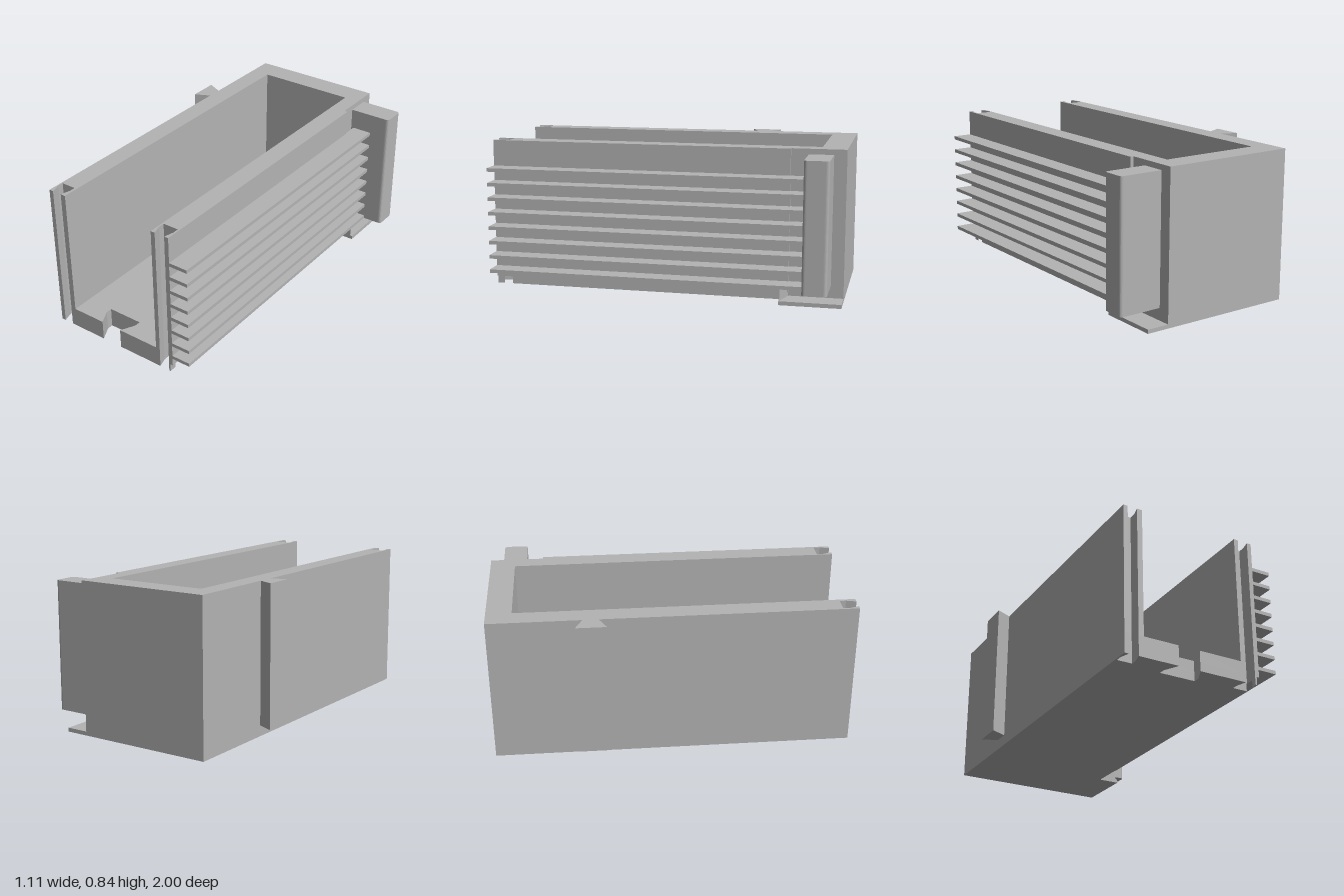
import * as THREE from 'three';

const grey = new THREE.MeshStandardMaterial({ color: 0xb3b3b3 });
grey.name = 'grey';

// Plan outline of [x, z] points raised from y0 to y1
function raise(name, points, y0, y1) {
  const shape = points instanceof THREE.Shape
    ? points
    : new THREE.Shape(points.map(([x, z]) => new THREE.Vector2(x, -z)));
  const geo = new THREE.ExtrudeGeometry(shape, { depth: y1 - y0, bevelEnabled: false, curveSegments: 8 });
  geo.rotateX(-Math.PI / 2).translate(0, y0, 0);
  const mesh = new THREE.Mesh(geo, grey);
  mesh.name = name;
  return mesh;
}

// Flared slot cut into the front edge, listed from +x to -x
const slot = (mouthR, wideR, mouthL, wideL, bend, back) =>
  [[mouthR, 1], [wideR, bend], [wideR, back], [wideL, back], [wideL, bend], [mouthL, 1]];

const leftSlot = slot(0.30, 0.314, 0.24, 0.224, 0.945, 0.91);
const rightSlot = slot(-0.39, -0.376, -0.445, -0.461, 0.945, 0.91);
const floorSlot = slot(-0.035, 0.005, -0.16, -0.2, 0.92, 0.885);

const rear = [[-0.47, 1], [-0.47, -1], [0.305, -1], [0.305, -0.7]];
const side = [[0.325, -0.7], [0.325, 1]];
const cavity = [[0.215, 1], [0.215, -0.86], [-0.36, -0.86], [-0.36, 1]];

export function createModel() {
  const model = new THREE.Group();

  // Open-topped, open-fronted box in layers
  model.add(raise('walls', [...rear, ...side, ...leftSlot, ...cavity, ...rightSlot], 0.113, 0.84));
  model.add(raise('floor', [...rear, ...side, ...leftSlot, ...floorSlot, ...rightSlot], 0.045, 0.113));

  // Base is narrower on the left, so the slot breaks through its side
  model.add(raise('base', [...rear, [0.31, -0.7], [0.31, 0.91], ...leftSlot.slice(3),
    ...floorSlot, ...rightSlot], 0, 0.045));
  model.add(raise('baseSliver', [[0.30, 1], [0.31, 1], [0.31, 0.96]], 0, 0.045));

  // Cooling fins
  for (let i = 0; i < 8; i++) {
    const fin = new THREE.Mesh(new THREE.BoxGeometry(0.115, 0.02, 1.8), grey);
    fin.name = 'fin';
    fin.position.set(0.3775, 0.098 + i * 0.0836, 0.1);
    model.add(fin);
  }

  // Upright side handle with rounded outer corners
  const r = 0.02;
  const handle = new THREE.Shape();
  handle.moveTo(0.30, 0.795);
  handle.lineTo(0.553 - r, 0.795);
  handle.quadraticCurveTo(0.553, 0.795, 0.553, 0.795 + r);
  handle.lineTo(0.553, 0.93 - r);
  handle.quadraticCurveTo(0.553, 0.93, 0.553 - r, 0.93);
  handle.lineTo(0.30, 0.93);
  model.add(raise('handle', handle, 0.09, 0.81));

  // Foot plate and its upright gusset
  model.add(raise('footPlate', [[0.3, -1], [0.433, -1], [0.433, -0.66], [0.3, -0.66]], 0, 0.022));
  model.add(raise('gusset', [[0.3, -0.66], [0.3, -0.7], [0.42, -0.664], [0.42, -0.66]], 0.022, 0.09));

  // Dovetail rail on the opposite wall
  model.add(raise('dovetailRail',
    [[-0.465, -0.485], [-0.465, -0.403], [-0.557, -0.36], [-0.557, -0.528]], 0.06, 0.84));

  return model;
}
